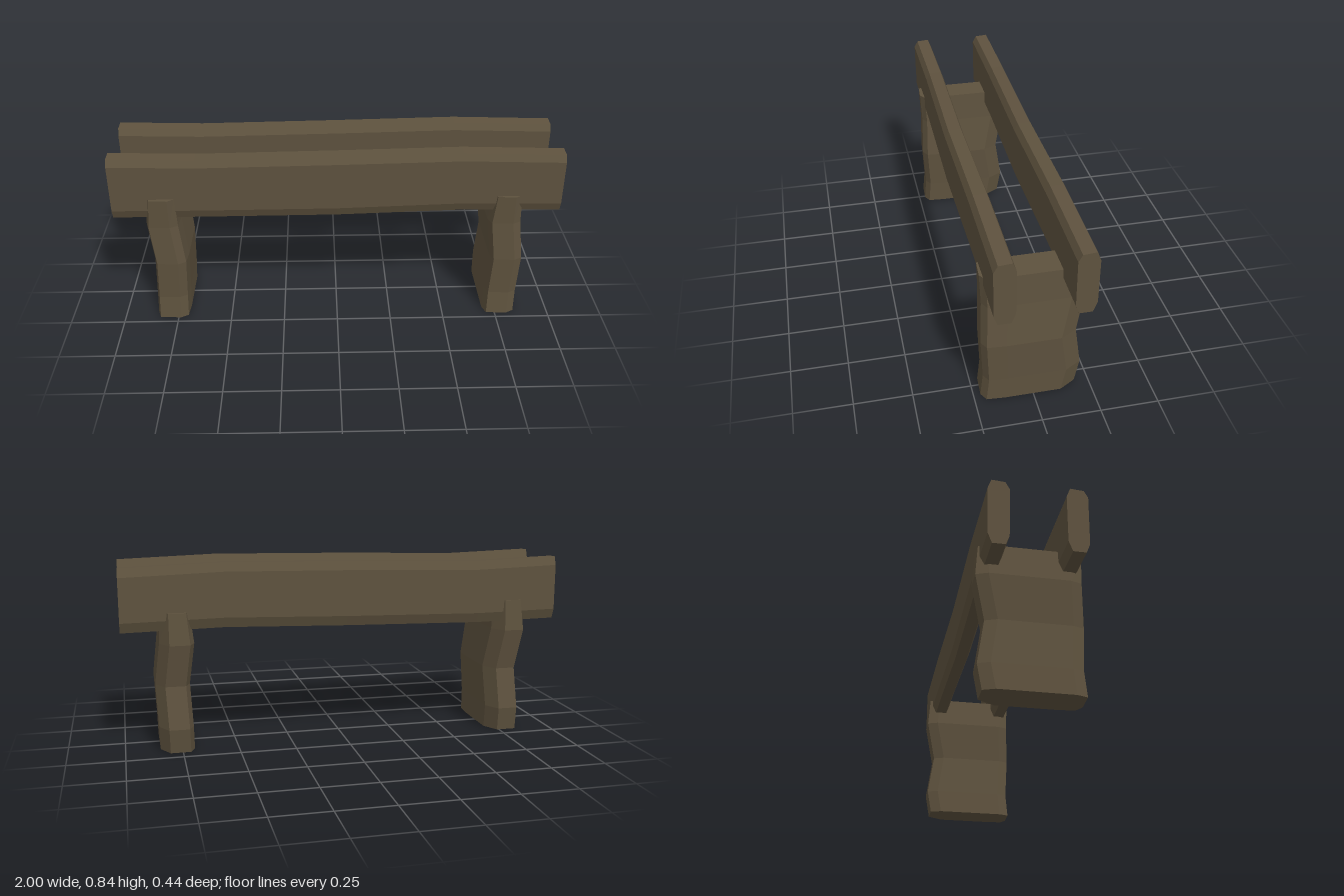
import * as THREE from 'three';

// Skin a list of rings (each counter-clockwise about the loft direction) and cap both ends.
function loft(rings) {
  const pos = [];
  const n = rings[0].length;
  const tri = (...pts) => pts.forEach((p) => pos.push(p.x, p.y, p.z));
  for (let s = 0; s < rings.length - 1; s++) {
    const a = rings[s], b = rings[s + 1];
    for (let i = 0; i < n; i++) {
      const j = (i + 1) % n;
      tri(a[i], a[j], b[j]);
      tri(a[i], b[j], b[i]);
    }
  }
  const first = rings[0], last = rings[rings.length - 1];
  for (let i = 1; i < n - 1; i++) {
    tri(first[0], first[i + 1], first[i]);
    tri(last[0], last[i], last[i + 1]);
  }
  const geo = new THREE.BufferGeometry();
  geo.setAttribute('position', new THREE.Float32BufferAttribute(pos, 3));
  geo.computeVertexNormals();
  return geo;
}

// Bevelled plank running along x, gently warped
function railGeometry() {
  // x, bottom, top, sideways drift
  const stations = [
    [-1, 0.535, 0.828, -0.003],
    [-0.62, 0.53, 0.817, -0.008],
    [0, 0.54, 0.832, 0.004],
    [0.55, 0.556, 0.842, 0.002],
    [1, 0.548, 0.828, 0],
  ];
  return loft(stations.map(([x, b, t, dz]) => [
    [-0.028, t], [0.028, t - 0.004], [0.045, t - 0.035], [0.043, b + 0.04],
    [0.028, b], [-0.026, b], [-0.043, b + 0.045], [-0.043, t - 0.04],
  ].map(([z, y]) => new THREE.Vector3(x, y, z + dz))));
}

// Broad rough-hewn post rising along y
function legGeometry() {
  const section = [
    [0.07, 0.2], [0.076, 0.12], [0.076, -0.13], [0.035, -0.2], [-0.055, -0.2],
    [-0.075, -0.15], [-0.075, 0.17], [-0.06, 0.215], [0.035, 0.22],
  ];
  // y, x shift, front shift, back shift, width factor
  const stations = [
    [0, 0, 0, 0.01, 1],
    [0.11, 0.003, -0.01, -0.009, 1],
    [0.3, 0.012, 0, 0.02, 1],
    [0.49, -0.01, -0.007, -0.02, 1],
    [0.63, -0.005, 0, -0.008, 0.85],
  ];
  return loft(stations.map(([y, dx, front, back, w]) =>
    section.map(([x, z]) => new THREE.Vector3(x * w + dx, y, z + (z > 0 ? front : back)))));
}

export function createModel() {
  const group = new THREE.Group();
  const wood = new THREE.MeshStandardMaterial({ color: 0x5e523e });
  wood.name = 'weathered wood';

  const add = (name, geo, x, z) => {
    const mesh = new THREE.Mesh(geo, wood);
    mesh.name = name;
    mesh.position.set(x, 0, z);
    group.add(mesh);
  };

  const rail = railGeometry();
  add('frontRail', rail, 0, 0.163);
  add('backRail', rail, 0, -0.154);

  const leg = legGeometry();
  add('leftLeg', leg, 0.77, 0);
  add('rightLeg', leg, -0.775, 0);

  return group;
}
